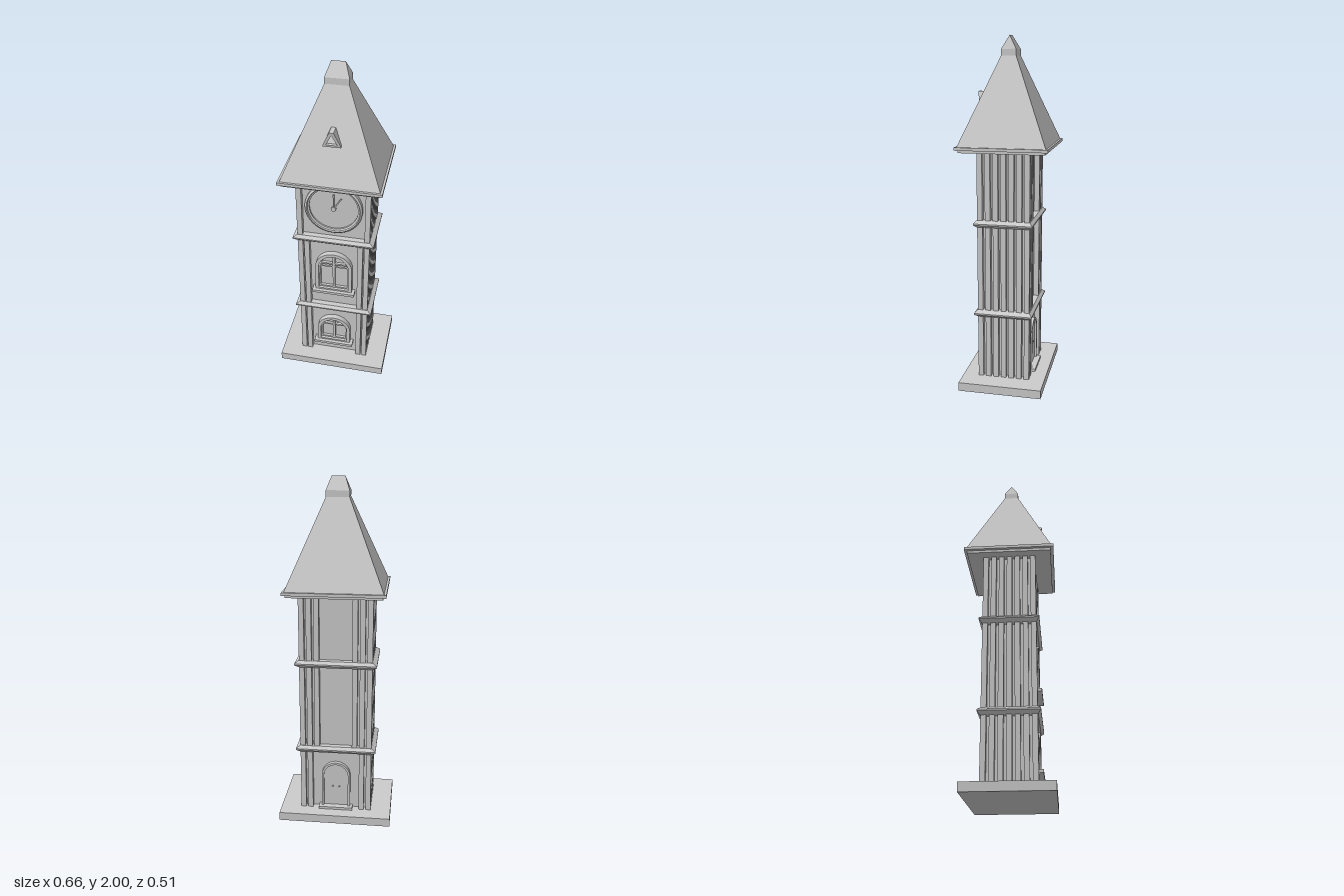
import * as THREE from 'three';
import { toCreasedNormals } from 'three/addons/utils/BufferGeometryUtils.js';

export function createModel() {
  const group = new THREE.Group();
  const material = new THREE.MeshStandardMaterial({ color: 0xcccccc });

  const add = (name, geometry, parent = group) => {
    const mesh = new THREE.Mesh(geometry, material);
    mesh.name = name;
    parent.add(mesh);
    return mesh;
  };
  const part = (name) => {
    const g = new THREE.Group();
    g.name = name;
    group.add(g);
    return g;
  };
  // Box given by its limits
  const box = (name, x0, x1, y0, y1, z0, z1, parent) =>
    add(name, new THREE.BoxGeometry(x1 - x0, y1 - y0, z1 - z0)
      .translate((x0 + x1) / 2, (y0 + y1) / 2, (z0 + z1) / 2), parent);
  // Box whose half sizes change from bottom (x0, z0) to top (x1, z1)
  const taper = (name, x0, z0, x1, z1, y0, y1, parent) => {
    const g = new THREE.BoxGeometry(2, 1, 2).toNonIndexed();
    const p = g.attributes.position;
    for (let i = 0; i < p.count; i++) {
      const top = p.getY(i) > 0;
      p.setXYZ(i, p.getX(i) * (top ? x1 : x0), top ? y1 : y0, p.getZ(i) * (top ? z1 : z0));
    }
    g.computeVertexNormals();
    return add(name, g, parent);
  };
  // Round-topped outline of half width r
  const arch = (r, y0, spring, Type = THREE.Shape) => {
    const s = new Type();
    s.moveTo(-r, y0);
    s.lineTo(r, y0);
    s.lineTo(r, spring);
    s.absarc(0, spring, r, 0, Math.PI, false);
    s.closePath();
    return s;
  };
  const extrude = (shape, depth, z) => toCreasedNormals(
    new THREE.ExtrudeGeometry(shape, { depth, bevelEnabled: false, curveSegments: 20 })
      .translate(0, 0, z), 0.5);
  const archFrame = (outer, inner, y0, yIn, spring, depth, z) => {
    const s = arch(outer, y0, spring);
    s.holes.push(arch(inner, yIn, spring, THREE.Path));
    return extrude(s, depth, z);
  };

  // Plinth and tower core
  box('plinth', -0.33, 0.33, 0, 0.05, -0.24, 0.24);
  box('towerCore', -0.18, 0.18, 0.05, 1.38, -0.12, 0.12);

  // Pilasters on each storey
  const storeys = [[0.05, 0.43], [0.45, 0.96], [0.98, 1.38]];
  storeys.forEach(([y0, y1], level) => {
    const pilasters = part('pilasters' + (level + 1));
    const post = (x, z) =>
      box('pilaster', x - 0.015, x + 0.015, y0, y1, z - 0.015, z + 0.015, pilasters);
    for (const s of [-1, 1]) {
      for (let i = 0; i < 7; i++) post(s * 0.195, -0.135 + i * 0.045);
      if (level < 2) post(s * 0.157, 0.135);
      post(s * 0.153, -0.135);
      if (level > 0) post(s * 0.11, -0.135);
    }
  });

  // Pointed string courses between storeys
  for (const y of [0.44, 0.97]) {
    const course = part('stringCourse');
    taper('courseLower', 0.212, 0.152, 0.235, 0.168, y - 0.02, y - 0.004, course);
    taper('courseEdge', 0.235, 0.168, 0.235, 0.168, y - 0.004, y + 0.004, course);
    taper('courseUpper', 0.235, 0.168, 0.212, 0.152, y + 0.004, y + 0.02, course);
  }

  // Eaves and roof
  box('eavesLower', -0.265, 0.265, 1.373, 1.39, -0.24, 0.24);
  box('eavesUpper', -0.282, 0.282, 1.388, 1.405, -0.257, 0.257);
  taper('roof', 0.27, 0.245, 0.065, 0.042, 1.405, 1.89);
  taper('roofCollar', 0.065, 0.042, 0.065, 0.042, 1.89, 1.925);
  taper('roofCap', 0.065, 0.042, 0.037, 0, 1.925, 2);

  // Small dormer vent, its face leaning outward
  const vent = new THREE.Shape([[-0.048, 1.605], [0.048, 1.605], [0.048, 1.613],
    [0.012, 1.695], [-0.012, 1.695], [-0.048, 1.613]].map(([x, y]) => new THREE.Vector2(x, y)));
  vent.holes.push(new THREE.Path([[-0.03, 1.617], [0, 1.68], [0.03, 1.617]]
    .map(([x, y]) => new THREE.Vector2(x, y))));
  const ventGeometry = new THREE.ExtrudeGeometry(vent, { depth: 0.07, bevelEnabled: false });
  const vp = ventGeometry.attributes.position;
  for (let i = 0; i < vp.count; i++) vp.setZ(i, vp.getZ(i) + 0.102 + (vp.getY(i) - 1.605) * 0.16);
  ventGeometry.computeVertexNormals();
  add('dormerVent', ventGeometry);

  // Clock
  const clock = part('clock');
  clock.position.set(0, 1.19, 0.12);
  const rim = [[0.163, 0], [0.163, 0.022], [0.152, 0.03], [0.148, 0.022], [0.138, 0.018], [0.138, 0]];
  add('clockRim', toCreasedNormals(new THREE.LatheGeometry(
    rim.map(([x, y]) => new THREE.Vector2(x, y)), 48).rotateX(Math.PI / 2), 0.5), clock);
  add('clockFace', new THREE.CylinderGeometry(0.14, 0.14, 0.008, 48).rotateX(Math.PI / 2)
    .translate(0, 0, 0.004), clock);
  add('clockHub', new THREE.CylinderGeometry(0.014, 0.014, 0.018, 20).rotateX(Math.PI / 2)
    .translate(0, 0, 0.014), clock);
  for (const [length, angle] of [[0.095, 0], [0.083, -0.55]]) {
    add('clockHand', new THREE.BoxGeometry(0.007, length, 0.007)
      .translate(0, length / 2, 0.016).rotateZ(angle), clock);
  }

  // Arched front windows: half width, sill height, springing, glazing bar heights
  const windows = [[0.104, 0.14, 0.247, [0.28]], [0.11, 0.58, 0.76, [0.765, 0.785]]];
  for (const [r, y, spring, bars] of windows) {
    const w = part('window');
    const inner = r - 0.02;
    add('windowFrame', archFrame(r, inner, y + 0.005, y + 0.02, spring, 0.032, 0.12), w);
    add('windowLining', archFrame(inner, inner - 0.009, y + 0.02, y + 0.029, spring, 0.016, 0.12), w);
    box('windowSill', -r - 0.018, r + 0.018, y - 0.007, y + 0.01, 0.12, 0.172, w);
    box('mullion', -0.007, 0.007, y + 0.02, spring + inner, 0.12, 0.138, w);
    for (const b of bars) box('glazingBar', -inner + 0.005, inner - 0.005, b - 0.005, b + 0.005, 0.12, 0.136, w);
  }

  // Back door with frame, handles and step
  const door = part('backDoor');
  add('doorFrame', archFrame(0.085, 0.072, 0.05, 0.051, 0.265, 0.025, -0.145), door);
  add('doorLeaf', extrude(arch(0.073, 0.05, 0.265), 0.012, -0.132), door);
  for (const x of [-0.02, 0.02]) {
    add('doorKnob', new THREE.SphereGeometry(0.005, 10, 8).translate(x, 0.19, -0.134), door);
  }
  box('doorStep', -0.1, 0.1, 0.05, 0.065, -0.168, -0.12, door);

  return group;
}
